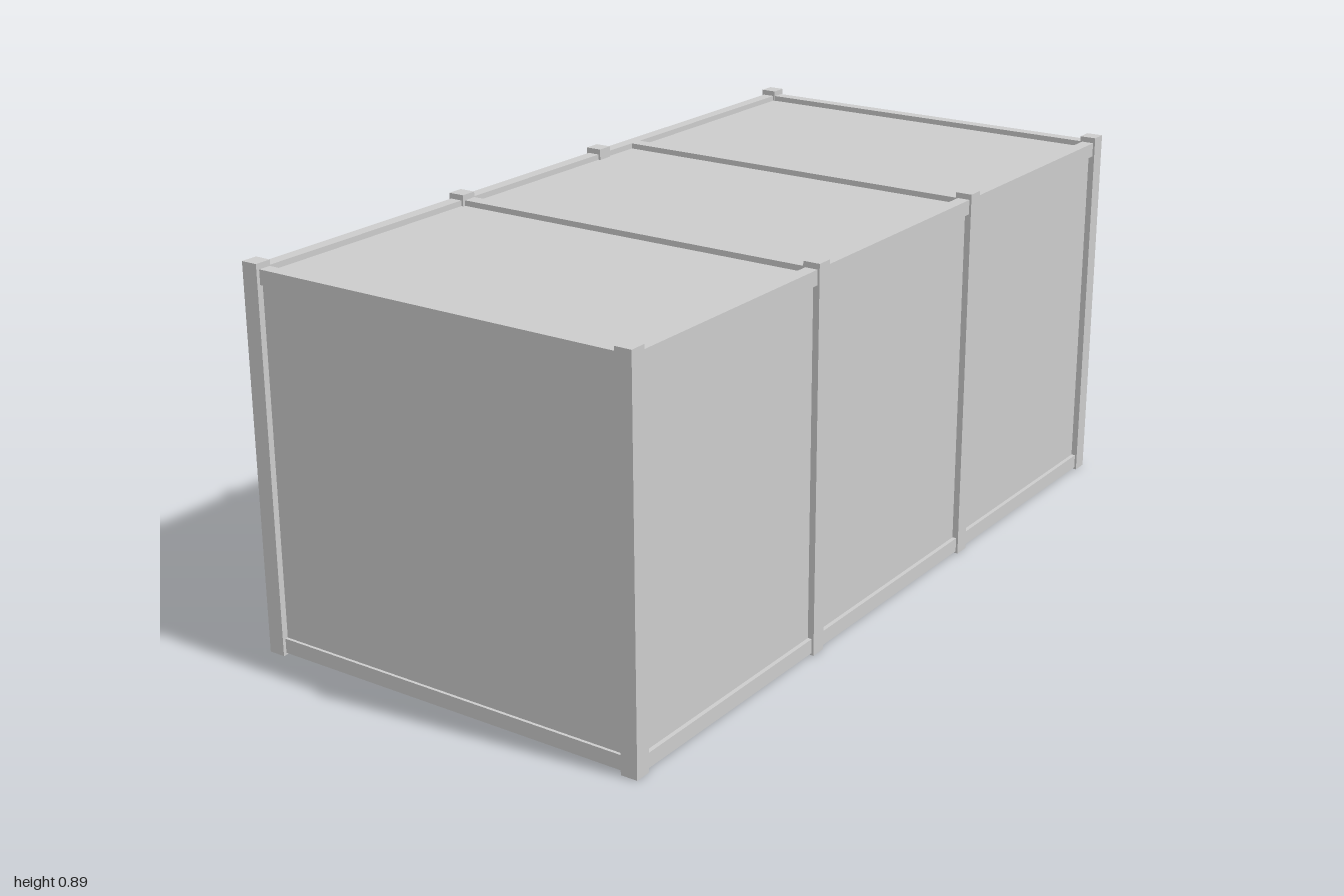
import * as THREE from 'three';

const material = new THREE.MeshStandardMaterial({ color: 0xcccccc, flatShading: true });

// Overall dimensions
const H = 0.893, POST = 0.04, RAIL = 0.034;
const PX = 0.477, PZ = 0.98;            // post centre lines
const RAIL_LOW = 0.022, RAIL_TOP = 0.863; // rail centre heights
const PANEL_LOW = 0.03, PANEL_TOP = 0.855, THICK = 0.01;

export function createModel() {
  const model = new THREE.Group();

  // Box given by its minimum and maximum on each axis
  const box = (parent, name, [x0, x1], [y0, y1], [z0, z1]) => {
    const mesh = new THREE.Mesh(new THREE.BoxGeometry(x1 - x0, y1 - y0, z1 - z0), material);
    mesh.position.set((x0 + x1) / 2, (y0 + y1) / 2, (z0 + z1) / 2);
    mesh.name = name;
    parent.add(mesh);
  };
  const around = (c, size) => [c - size / 2, c + size / 2];
  const group = (name) => {
    const g = new THREE.Group();
    g.name = name;
    model.add(g);
    return g;
  };

  // Upright posts, unevenly spaced on the door side
  const posts = group('posts');
  const leftZ = [-PZ, -0.328, 0.328, PZ];
  const rightZ = [-PZ, -0.19, 0.328, PZ];
  for (const [x, zs] of [[PX, leftZ], [-PX, rightZ]])
    for (const z of zs) box(posts, 'post', around(x, POST), [0, H], around(z, POST));

  // Perimeter rails at floor and roof level
  const rails = group('rails');
  for (const y of [RAIL_LOW, RAIL_TOP]) {
    for (const s of [-1, 1]) {
      box(rails, 'sideRail', around(s * PX, 0.03), around(y, RAIL), [-PZ, PZ]);
      box(rails, 'endRail', [-PX, PX], around(y, RAIL), around(s * 0.977, 0.03));
    }
  }

  // Roof beams and roof sheets
  const roof = group('roof');
  for (const z of [-0.325, 0.325]) box(roof, 'roofBeam', [-PX, PX], around(RAIL_TOP, RAIL), around(z, 0.034));
  for (const z of [-0.652, 0, 0.652])
    box(roof, 'roofPanel', [-0.47, 0.47], [0.857, 0.867], around(z, 0.65));

  // Wall sheets set between the posts
  const walls = group('walls');
  for (let i = 0; i < 3; i++)
    box(walls, 'leftWallPanel', around(PX, THICK), [PANEL_LOW, PANEL_TOP], [leftZ[i], leftZ[i + 1]]);
  for (const i of [0, 2])
    box(walls, 'rightWallPanel', around(-PX, THICK), [PANEL_LOW, PANEL_TOP], [rightZ[i], rightZ[i + 1]]);
  box(walls, 'frontWallPanel', [-PX, PX], [PANEL_LOW, PANEL_TOP], around(0.98, THICK));

  // Half-height back wall below the open hatch
  box(walls, 'backWallPanel', [-PX, PX], [PANEL_LOW, 0.31], around(-0.98, THICK));
  box(walls, 'hatchSill', [-PX, PX], [0.3, 0.335], around(-0.977, 0.03));

  // Framed door with a middle rail
  const door = group('door');
  for (const z of [-0.153, 0.291]) box(door, 'doorStile', around(-PX, 0.03), [0.001, 0.845], around(z, 0.032));
  for (const y of [0.03, 0.43, 0.828])
    box(door, 'doorRail', around(-PX, 0.028), around(y, 0.032), [-0.15, 0.29]);
  box(door, 'doorPanel', around(-PX, THICK), [PANEL_LOW, 0.83], [-0.15, 0.29]);

  return model;
}
